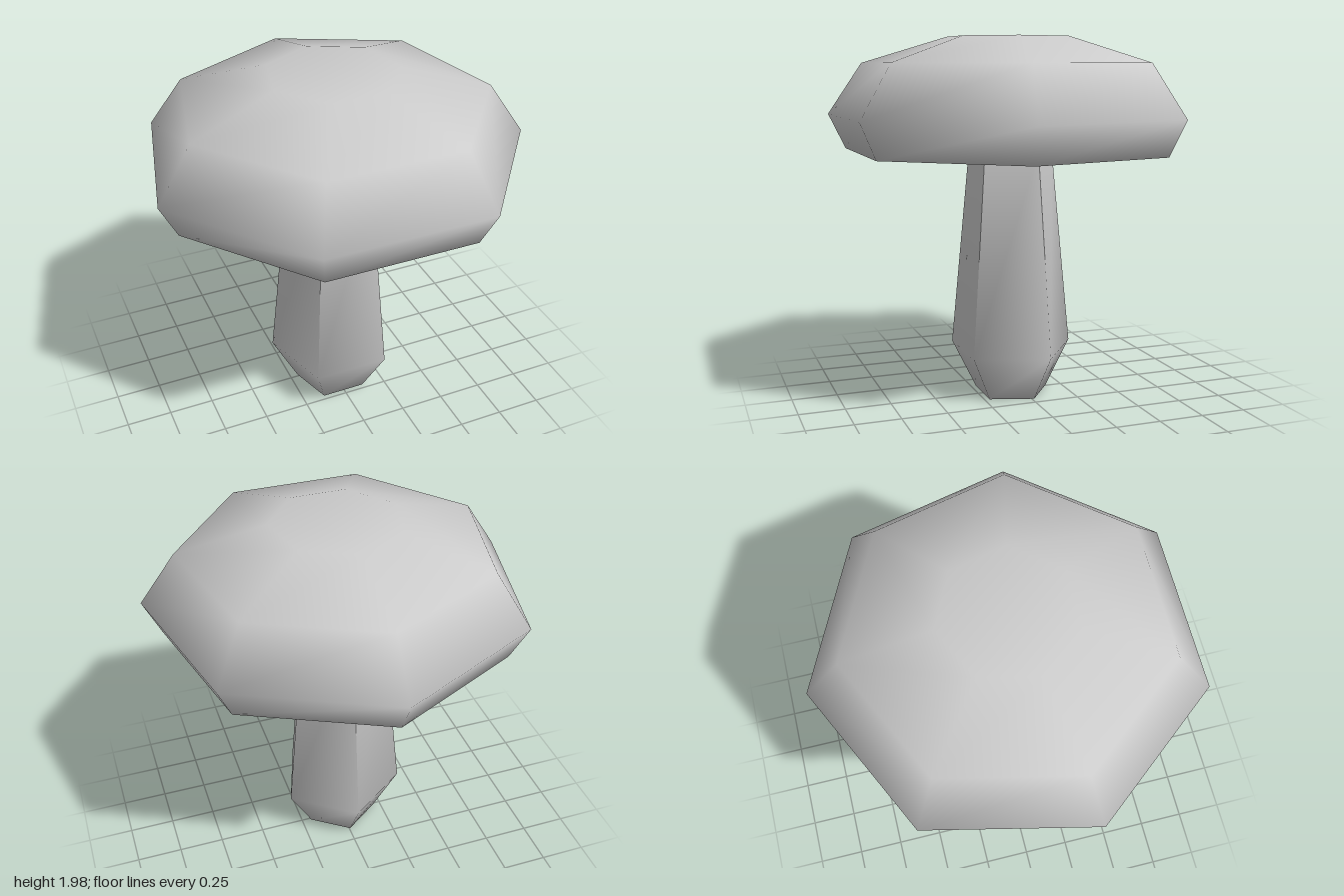
import * as THREE from 'three';

// Smooth solid lofted through regular polygon rings [radius, y], listed bottom to top.
// With openTop the last ring has no lid and its corners stay sharp.
function loft(sides, rings, openTop) {
  const pos = [], index = [], last = rings.length - 1;
  const addPoint = (r, y, i) => {
    const a = Math.PI + (i / sides) * Math.PI * 2;
    pos.push(r * Math.sin(a), y, r * Math.cos(a));
    return pos.length / 3 - 1;
  };
  const ids = rings.map(([r, y], k) => {
    const ring = [];
    for (let i = 0; i < sides; i++) {
      const left = addPoint(r, y, i);
      // separate corner copies let each face keep its own normal
      const right = openTop && k === last ? addPoint(r, y, i) : left;
      ring.push({ left, right });
    }
    return ring;
  });
  for (let k = 0; k < last; k++) {
    for (let i = 0; i < sides; i++) {
      const j = (i + 1) % sides;
      const a = ids[k][i].left, b = ids[k][j].right;
      const c = ids[k + 1][j].right, d = ids[k + 1][i].left;
      index.push(a, b, c, a, c, d);
    }
  }
  // flat ends
  for (let i = 1; i < sides - 1; i++) {
    index.push(ids[0][0].left, ids[0][i + 1].left, ids[0][i].left);
    if (!openTop) index.push(ids[last][0].left, ids[last][i].left, ids[last][i + 1].left);
  }

  // vertex normals weighted by corner angle
  const point = (i) => new THREE.Vector3().fromArray(pos, i * 3);
  const normals = Array.from({ length: pos.length / 3 }, () => new THREE.Vector3());
  for (let t = 0; t < index.length; t += 3) {
    for (let c = 0; c < 3; c++) {
      const [p, q, r] = [0, 1, 2].map((n) => index[t + ((c + n) % 3)]);
      const u = point(q).sub(point(p)), v = point(r).sub(point(p));
      const n = new THREE.Vector3().crossVectors(u, v).normalize();
      normals[p].addScaledVector(n, u.angleTo(v));
    }
  }
  const geometry = new THREE.BufferGeometry();
  geometry.setAttribute('position', new THREE.Float32BufferAttribute(pos, 3));
  geometry.setAttribute('normal', new THREE.Float32BufferAttribute(
    normals.flatMap((n) => n.normalize().toArray()), 3));
  geometry.setIndex(index);
  return geometry;
}

export function createModel() {
  const group = new THREE.Group();
  group.name = 'mushroom';
  const grey = new THREE.MeshStandardMaterial({ color: 0xcccccc });
  grey.name = 'light grey';

  // five-sided tapering stem
  const stem = new THREE.Mesh(
    loft(5, [[0.21, 0], [0.353, 0.26], [0.242, 1.372]], true), grey);
  stem.name = 'stem';
  stem.position.set(-0.005, 0, 0.052);

  // seven-sided cap
  const cap = new THREE.Mesh(
    loft(7, [[0.93, 1.37], [1.025, 1.56], [0.83, 1.84], [0.353, 1.98]], false), grey);
  cap.name = 'cap';
  cap.position.z = 0.05;

  group.add(stem, cap);
  return group;
}
